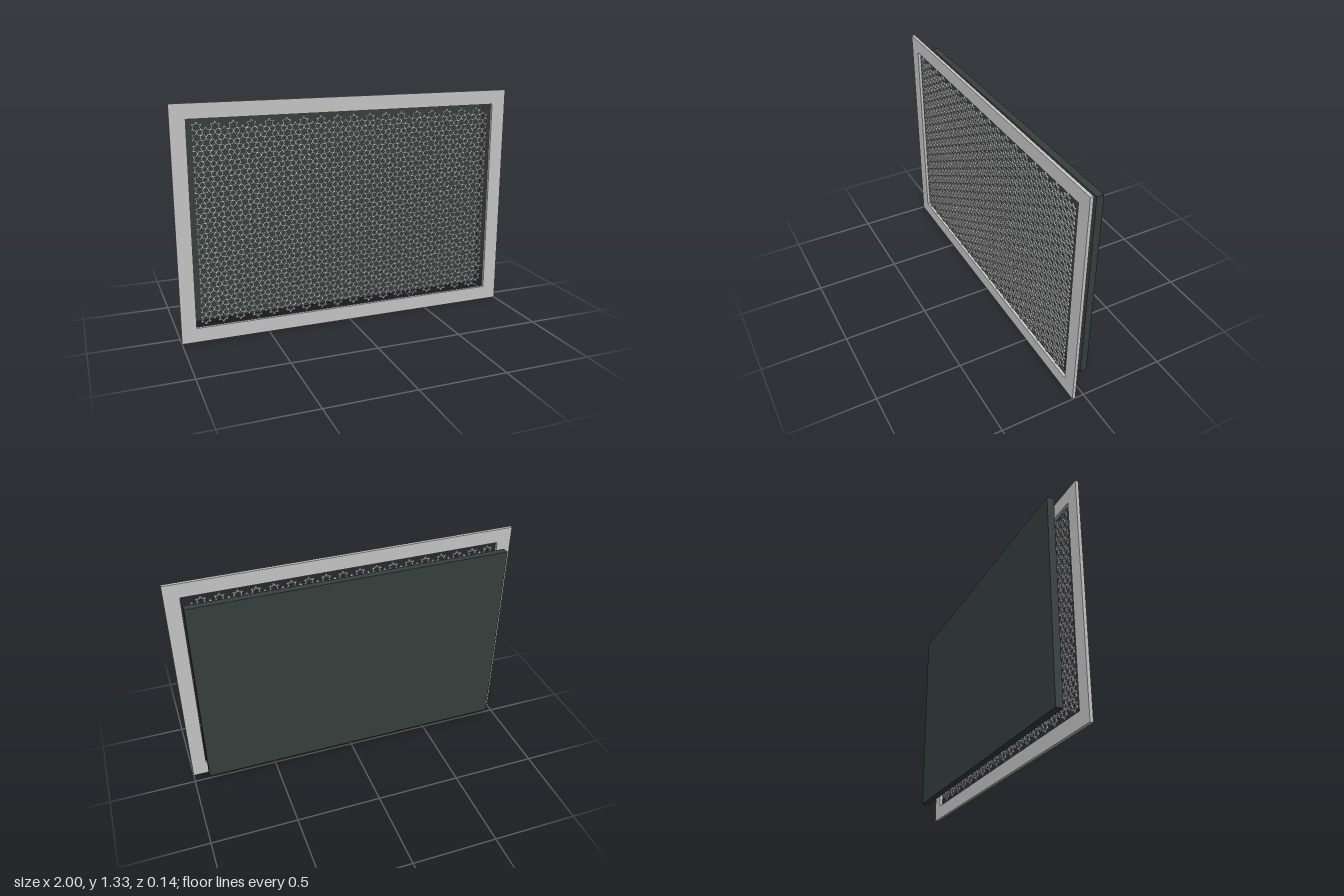
import * as THREE from 'three';
import { mergeGeometries } from 'three/addons/utils/BufferGeometryUtils.js';

const WIDTH = 2, HEIGHT = 1.333, INNER_W = 1.83, INNER_H = 1.167;

// Closed path for a six-pointed star with one tip up
function tracePath(path, radius) {
  const points = [];
  for (let i = 0; i < 12; i++) {
    const r = i % 2 ? radius / Math.sqrt(3) : radius;
    const a = Math.PI / 2 + i * Math.PI / 6;
    points.push(new THREE.Vector2(r * Math.cos(a), r * Math.sin(a)));
  }
  return path.setFromPoints(points);
}

function rectangle(path, w, h) {
  path.moveTo(-w / 2, -h / 2);
  path.lineTo(w / 2, -h / 2);
  path.lineTo(w / 2, h / 2);
  path.lineTo(-w / 2, h / 2);
  path.closePath();
  return path;
}

export function createModel() {
  const group = new THREE.Group();
  const frameMaterial = new THREE.MeshStandardMaterial({ color: 0xc8c8c8 });
  frameMaterial.name = 'light grey';
  const panelMaterial = new THREE.MeshStandardMaterial({ color: 0x37403e });
  panelMaterial.name = 'dark slate';

  const add = (name, geometry, material, z) => {
    const mesh = new THREE.Mesh(geometry, material);
    mesh.name = name;
    mesh.position.set(0, HEIGHT / 2, z);
    group.add(mesh);
  };

  // Flat rectangular surround
  const frame = rectangle(new THREE.Shape(), WIDTH, HEIGHT);
  frame.holes.push(rectangle(new THREE.Path(), INNER_W, INNER_H));
  add('frame', new THREE.ExtrudeGeometry(frame, { depth: 0.018, bevelEnabled: false }), frameMaterial, 0.052);

  // Solid panel standing behind the opening
  add('backPanel', new THREE.BoxGeometry(INNER_W, INNER_H, 0.04), panelMaterial, -0.05);

  // Star-and-hexagon lattice: star outlines meeting tip to tip on a hexagonal grid
  const pitch = 0.0567, column = pitch * Math.sqrt(3) / 2, strip = 0.0065, columns = 36;
  const star = tracePath(new THREE.Shape(), pitch / 2 + strip);
  star.holes.push(tracePath(new THREE.Path(), pitch / 2 - strip));
  const starGeometry = new THREE.ExtrudeGeometry(star, { depth: 0.008, bevelEnabled: false });
  const stars = [];
  for (let c = 0; c < columns; c++) {
    const rows = c % 2 ? 19 : 20;
    for (let r = 0; r < rows; r++) {
      stars.push(starGeometry.clone().translate(
        (c - (columns - 1) / 2) * column, (r - (rows - 1) / 2) * pitch, 0));
    }
  }
  add('lattice', mergeGeometries(stars), frameMaterial, 0.057);

  return group;
}
